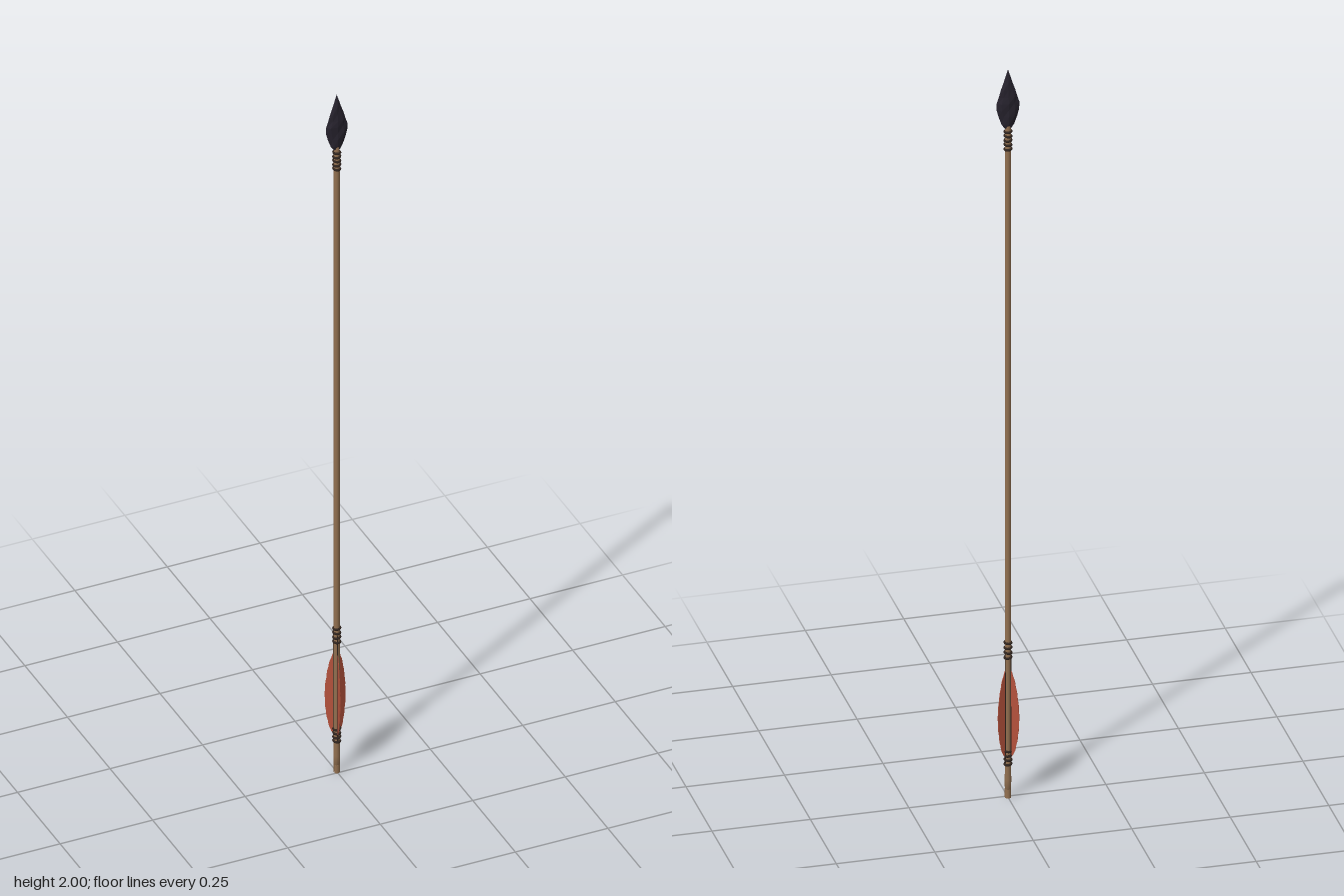
import * as THREE from 'three';

const mat = (color, extra = {}) => new THREE.MeshStandardMaterial({ color, ...extra });

export function createModel() {
  const arrow = new THREE.Group();
  arrow.name = 'arrow';
  const wood = mat(0x927050);
  const cord = mat(0x30251f);
  const stone = mat(0x27232e, { flatShading: true });
  const feather = mat(0xb5523c, { side: THREE.DoubleSide, flatShading: true });
  const add = (geometry, material, name, parent = arrow) => {
    const mesh = new THREE.Mesh(geometry, material);
    mesh.name = name;
    parent.add(mesh);
    return mesh;
  };

  // Shaft: slender lathe, closed at both ends
  const shaft = [[0, 0.022], [0.008, 0.022], [0.0085, 0.05], [0.0075, 0.09], [0.0075, 1.83], [0.006, 1.86], [0, 1.86]];
  add(new THREE.LatheGeometry(shaft.map(p => new THREE.Vector2(...p)), 12), wood, 'shaft');

  // Nock: two prongs with a string slot between them
  for (const side of [0, Math.PI]) {
    const half = new THREE.Shape();
    half.absarc(0, 0, 0.008, 0.3, Math.PI - 0.3, false);
    half.closePath();
    const prong = new THREE.ExtrudeGeometry(half, { depth: 0.024, bevelEnabled: false, curveSegments: 8 });
    prong.rotateX(-Math.PI / 2).rotateY(side);
    add(prong, wood, 'nockProng');
  }

  // Cord bindings: stacked, slightly tilted loops
  const binding = (name, y0, y1, count) => {
    const group = new THREE.Group();
    group.name = name;
    for (let i = 0; i < count; i++) {
      const loop = add(new THREE.TorusGeometry(0.0083, 0.0032, 6, 14), cord, 'cordLoop', group);
      loop.position.y = y0 + (y1 - y0) * i / (count - 1);
      loop.rotation.set(Math.PI / 2, (i % 2 ? 1 : -1) * 0.1, 0);
    }
    arrow.add(group);
  };
  binding('headBinding', 1.782, 1.83, 5);
  binding('upperFeatherBinding', 0.385, 0.425, 4);
  binding('lowerFeatherBinding', 0.092, 0.128, 4);

  // Stone head: lens-shaped rings with chipped edges; columns are height, half width, half thickness
  const rings = [[1.838, 0.008, 0.007], [1.85, 0.016, 0.009], [1.872, 0.024, 0.010], [1.89, 0.0285, 0.0105],
    [1.908, 0.029, 0.010], [1.925, 0.0235, 0.009], [1.945, 0.018, 0.0075], [1.965, 0.011, 0.0055], [1.983, 0.0055, 0.0035]];
  const sides = 8, pos = [], index = [];
  rings.forEach(([y, w, t], r) => {
    for (let i = 0; i < sides; i++) {
      const a = i / sides * Math.PI * 2;
      const chip = i % 4 === 0 ? 1 : 0.82 + 0.1 * Math.sin(r * 2.4 + i * 1.7);
      pos.push(Math.cos(a) * w * chip, y, Math.sin(a) * t * chip);
    }
  });
  for (let r = 0; r < rings.length - 1; r++) {
    for (let i = 0; i < sides; i++) {
      const a = r * sides + i, b = r * sides + (i + 1) % sides;
      index.push(a, a + sides, b, b, a + sides, b + sides);
    }
  }
  const tip = rings.length * sides, last = tip - sides;
  pos.push(0, 2, 0, 0, 1.838, 0);
  for (let i = 0; i < sides; i++) {
    const j = (i + 1) % sides;
    index.push(last + i, tip, last + j, i, j, tip + 1);
  }
  const head = new THREE.BufferGeometry();
  head.setAttribute('position', new THREE.Float32BufferAttribute(pos, 3));
  head.setIndex(index);
  head.computeVertexNormals();
  add(head, stone, 'arrowhead');

  // Three feather vanes with lightly ragged outer edges, each on a dark quill
  const outline = new THREE.SplineCurve([[0.007, 0.11], [0.018, 0.128], [0.027, 0.17], [0.0306, 0.22],
    [0.0275, 0.27], [0.019, 0.32], [0.007, 0.355]].map(p => new THREE.Vector2(...p)));
  const vane = new THREE.Shape();
  vane.moveTo(0.005, 0.11);
  outline.getPoints(28).forEach((p, i) => vane.lineTo(p.x - (i % 3 === 1 ? 0.0009 : 0), p.y));
  vane.lineTo(0.005, 0.355);
  vane.closePath();
  const vaneGeometry = new THREE.ExtrudeGeometry(vane, { depth: 0.0016, bevelEnabled: false });
  vaneGeometry.translate(0, 0, -0.0008);
  for (let i = 0; i < 3; i++) {
    const fletch = new THREE.Group();
    fletch.name = 'fletching' + (i + 1);
    fletch.rotation.y = -THREE.MathUtils.degToRad(99 + i * 120);
    add(vaneGeometry, feather, 'vane', fletch);
    const quill = add(new THREE.CylinderGeometry(0.0012, 0.0018, 0.31, 6), cord, 'quill', fletch);
    quill.position.set(0.008, 0.25, 0);
    arrow.add(fletch);
  }

  // Centre the uneven spread of the vanes on z = 0
  arrow.children.forEach(part => { part.position.z -= 0.0056; });
  return arrow;
}
